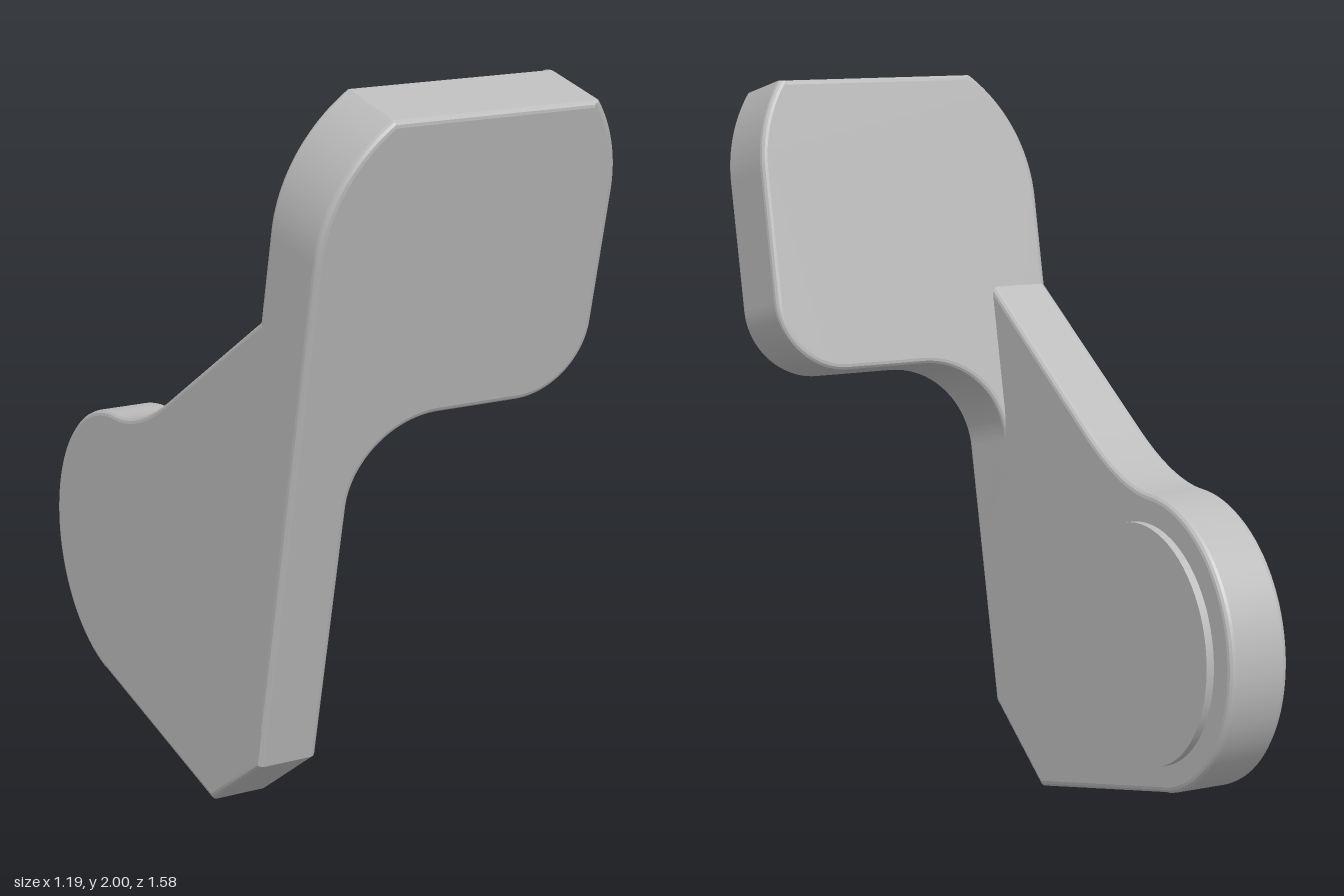
import * as THREE from 'three';
import { toCreasedNormals } from 'three/addons/utils/BufferGeometryUtils.js';

const BEVEL = 0.016;

// Solid plate with softened rims, occupying z = -thickness .. 0
function plate(shape, thickness) {
  const geo = new THREE.ExtrudeGeometry(shape, {
    depth: thickness - 2 * BEVEL,
    bevelEnabled: true,
    bevelThickness: BEVEL,
    bevelSize: BEVEL,
    bevelOffset: -BEVEL,
    bevelSegments: 3,
    curveSegments: 32,
  });
  geo.translate(0, 0, BEVEL - thickness);
  return toCreasedNormals(geo, 0.22);
}

export function createModel() {
  const model = new THREE.Group();
  model.name = 'bracket';
  const grey = new THREE.MeshStandardMaterial({ color: 0xbcbcbc });
  grey.name = 'plain grey';

  const add = (name, geo) => {
    const mesh = new THREE.Mesh(geo, grey);
    mesh.name = name;
    model.add(mesh);
    return mesh;
  };

  const inner = -0.235, outer = -0.41; // faces of the side plate
  const tilt = Math.atan(0.22);        // forward lean of the front plate
  const front = (y) => 0.327 + 0.22 * y;

  // Side plate: outline in (depth, height), with a round rear lobe
  const side = new THREE.Shape();
  side.moveTo(0.1, 0);
  side.lineTo(-0.565, 0.161);
  side.absarc(-0.47, 0.55, 0.402, -1.81, Math.PI / 2, true);
  side.quadraticCurveTo(-0.324, 0.952, -0.14, 1.068);
  side.lineTo(0.4, 1.41);
  side.lineTo(front(1.3), 1.3);
  side.lineTo(front(0.19), 0.19);
  side.closePath();
  const sidePlate = add('sidePlate', plate(side, inner - outer));
  sidePlate.rotation.y = -Math.PI / 2;
  sidePlate.position.x = outer;

  // Front plate: hooked panel with a stem merging into the side plate
  const hook = new THREE.Shape();
  hook.moveTo(outer, 0.3);
  hook.lineTo(outer, 1.636);
  hook.absarc(outer + 0.457, 1.636, 0.457, Math.PI, Math.PI - 0.907, true);
  hook.lineTo(0.36, 1.996);
  hook.absarc(0.01, 1.746, 0.43, 0.62, 0, true);
  hook.lineTo(0.44, 1.382);
  hook.absarc(0.24, 1.382, 0.2, 0, -Math.PI / 2, true);
  hook.lineTo(0.005, 1.182);
  hook.absarc(0.005, 0.942, 0.24, Math.PI / 2, Math.PI, false);
  hook.lineTo(inner, 0.3);
  hook.closePath();
  const frontPlate = add('frontPlate', plate(hook, 0.24));
  frontPlate.rotation.x = tilt;
  frontPlate.position.z = front(0);

  // Raised round pad on the inner face of the lobe
  const pad = add('roundPad', new THREE.CylinderGeometry(0.326, 0.326, 0.06, 72));
  pad.rotation.z = -Math.PI / 2;
  pad.position.set(inner - 0.008, 0.547, -0.467);

  // The whole bracket is turned slightly about the vertical
  model.rotation.y = 0.235;
  const root = new THREE.Group();
  root.name = 'model';
  root.add(model);
  return root;
}
